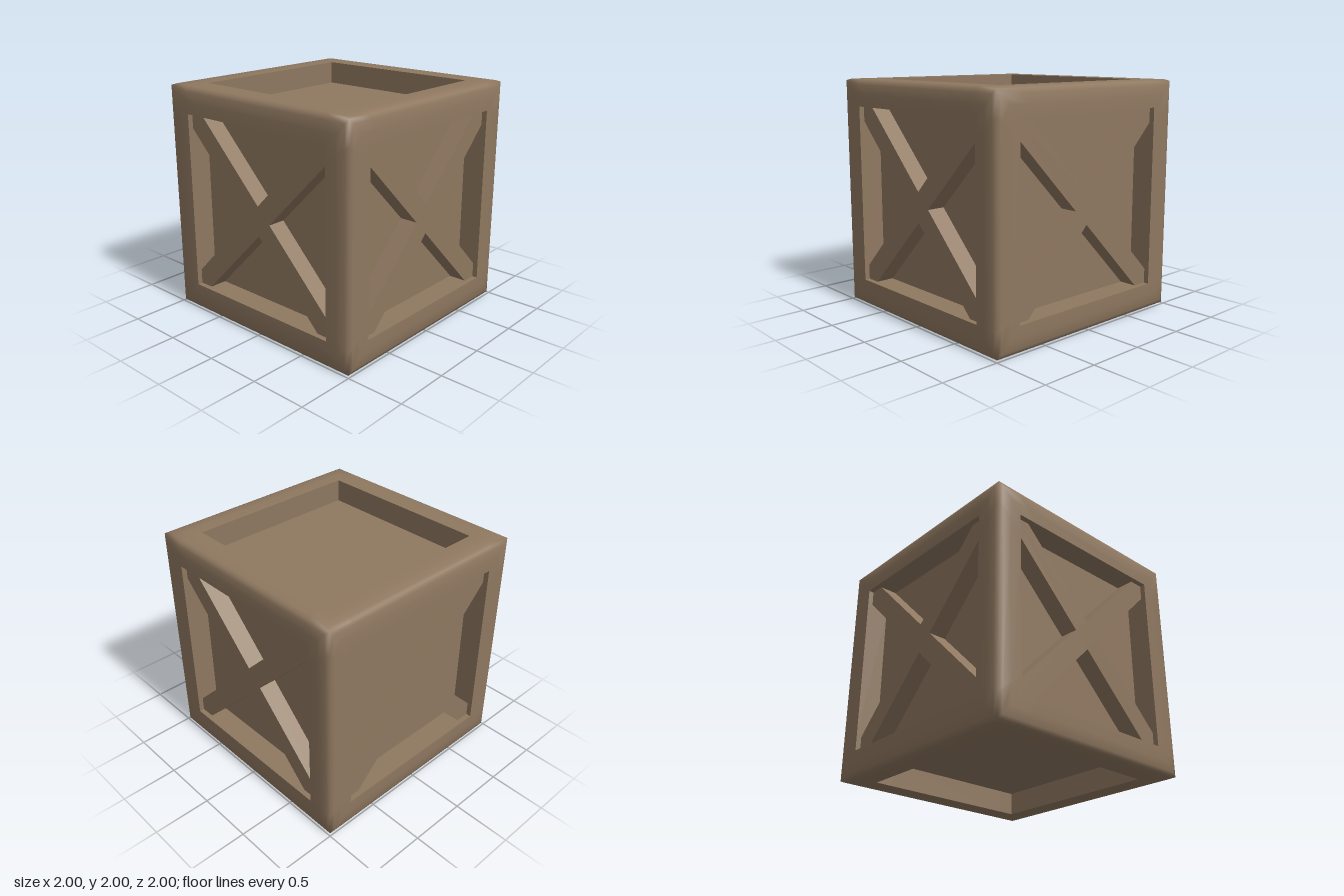
import * as THREE from 'three';

const OPEN = 0.77;   // half size of each recessed opening
const FLOOR = 0.8;   // panel distance from the crate centre
const BRACE = 0.955; // brace face distance from the centre

// Square loops joined into a surface; each ring is [half size, height, normal outward, normal up]
function loft(rings) {
  const pos = [], nor = [], idx = [];
  for (const [a, h, out, up] of rings) {
    const stops = [-a, -a * 0.8, a * 0.8, a];
    for (let side = 0; side < 4; side++) {
      const c = Math.round(Math.cos(side * Math.PI / 2));
      const s = Math.round(Math.sin(side * Math.PI / 2));
      stops.forEach((v, i) => {
        // lean the normal along the side only at the outer corners
        const lean = out > 0 ? (i === 0 ? -out : i === 3 ? out : 0) : 0;
        const n = new THREE.Vector3(out * c - lean * s, out * s + lean * c, up).normalize();
        pos.push(a * c - v * s, a * s + v * c, h);
        nor.push(n.x, n.y, n.z);
      });
    }
  }
  for (let r = 0; r < rings.length - 1; r++) {
    for (let side = 0; side < 4; side++) {
      for (let i = 0; i < 3; i++) {
        const p = r * 16 + side * 4 + i, q = p + 16;
        idx.push(p, q, q + 1, p, q + 1, p + 1);
      }
    }
  }
  const geo = new THREE.BufferGeometry();
  geo.setAttribute('position', new THREE.Float32BufferAttribute(pos, 3));
  geo.setAttribute('normal', new THREE.Float32BufferAttribute(nor, 3));
  geo.setIndex(idx);
  return geo;
}

// X-shaped brace whose ends meet the corners of the opening
function braceGeometry() {
  const w = 0.128, e = OPEN, k = OPEN - w;
  const quarter = [[w, 0], [e, k], [e, e], [k, e]];
  const points = [];
  for (let i = 0; i < 4; i++) {
    for (const [x, y] of quarter) {
      points.push(new THREE.Vector2(x, y).rotateAround(new THREE.Vector2(), i * Math.PI / 2));
    }
  }
  const geo = new THREE.ExtrudeGeometry(new THREE.Shape(points), {
    depth: BRACE - FLOOR, bevelEnabled: false,
  });
  return geo.translate(0, 0, FLOOR);
}

export function createModel() {
  const wood = new THREE.MeshStandardMaterial({ color: 0x8f7860 });
  wood.name = 'brownWood';

  // Frame face with a softly rounded outer edge, and the walls of its recess
  const frameGeo = loft([
    [OPEN, 1, 0, 1], [0.87, 1, 0.05, 1], [0.955, 1, 0.25, 1], [0.987, 0.987, 1, 1],
  ]);
  const wallGeo = loft([[OPEN, FLOOR, -1, 0], [OPEN, 1, -1, 0]]);
  const panelGeo = new THREE.PlaneGeometry(OPEN * 2, OPEN * 2).translate(0, 0, FLOOR);
  const braceGeo = braceGeometry();

  const crate = new THREE.Group();
  crate.name = 'crate';
  const h = Math.PI / 2;
  const faces = [
    ['front', 0, 0, true], ['left', 0, h, true], ['back', 0, 2 * h, true],
    ['right', 0, -h, true], ['top', -h, 0, false], ['bottom', h, 0, false],
  ];
  for (const [name, rx, ry, braced] of faces) {
    const face = new THREE.Group();
    face.name = name + 'Face';
    const add = (geo, part) => {
      const mesh = new THREE.Mesh(geo, wood);
      mesh.name = name + part;
      face.add(mesh);
    };
    add(frameGeo, 'Frame');
    add(wallGeo, 'RecessWalls');
    add(panelGeo, 'Panel');
    if (braced) add(braceGeo, 'CrossBrace');
    face.rotation.set(rx, ry, 0);
    face.position.y = 1;
    crate.add(face);
  }
  return crate;
}
